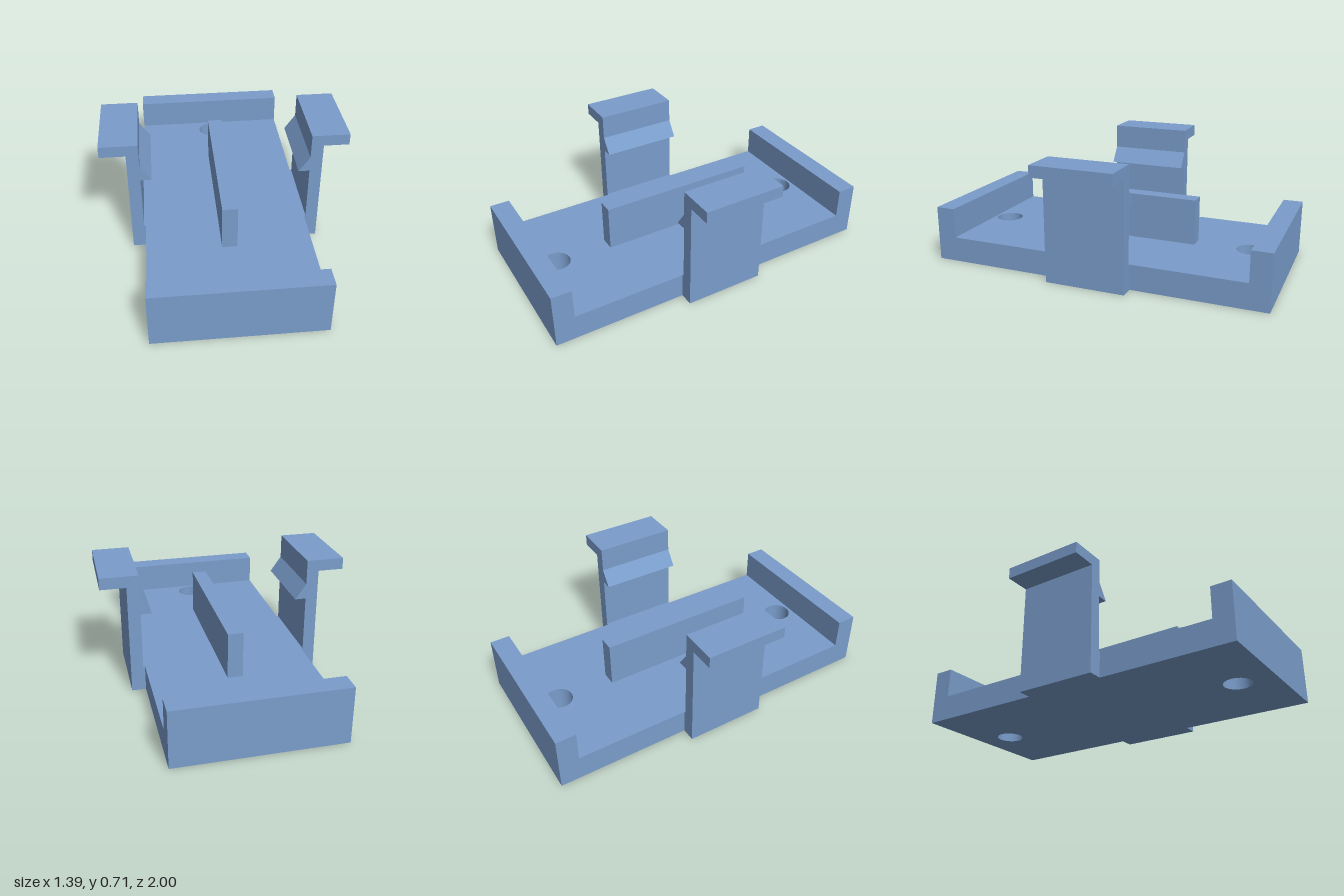
import * as THREE from 'three';

const W = 0.47;       // half width of the base
const DECK = 0.148;   // deck thickness
const WALL_Z = 0.885; // inner face of the end walls

export function createModel() {
  const group = new THREE.Group();
  const blue = new THREE.MeshStandardMaterial({ color: 0x7a9dcb });
  blue.name = 'dusty blue';

  const add = (name, geometry, x = 0, y = 0, z = 0) => {
    const mesh = new THREE.Mesh(geometry, blue);
    mesh.name = name;
    mesh.position.set(x, y, z);
    group.add(mesh);
    return mesh;
  };

  // Deck with two round screw holes
  const deck = new THREE.Shape([
    new THREE.Vector2(-W, -WALL_Z), new THREE.Vector2(W, -WALL_Z),
    new THREE.Vector2(W, WALL_Z), new THREE.Vector2(-W, WALL_Z),
  ]);
  for (const s of [-1, 1]) {
    deck.holes.push(new THREE.Path().absarc(0, s * 0.79, 0.079, 0, Math.PI * 2, true));
  }
  const deckGeometry = new THREE.ExtrudeGeometry(deck, { depth: DECK, bevelEnabled: false, curveSegments: 32 });
  deckGeometry.rotateX(-Math.PI / 2);
  add('deck', deckGeometry);

  // Central rib
  add('rib', new THREE.BoxGeometry(0.087, 0.415 - DECK, 0.94), 0, (0.415 + DECK) / 2, 0);

  // Clip arm profile: foot, inner face, barb, outward lip
  const profile = [
    [W, 0], [0.55, 0], [0.55, 0.64], [0.695, 0.64], [0.695, 0.706], [0.48, 0.706],
    [0.48, 0.565], [0.417, 0.475], [0.48, 0.475], [0.48, DECK], [W, DECK],
  ];

  for (const s of [1, -1]) {
    // End walls
    add(s > 0 ? 'frontWall' : 'backWall',
      new THREE.BoxGeometry(2 * W, 0.325, 1 - WALL_Z), 0, 0.1625, s * (1 + WALL_Z) / 2);

    // Snap clips on both sides
    const shape = new THREE.Shape(profile.map(([x, y]) => new THREE.Vector2(s * x, y)));
    const clip = new THREE.ExtrudeGeometry(shape, { depth: 0.47, bevelEnabled: false });
    add(s > 0 ? 'leftClip' : 'rightClip', clip, 0, 0, -0.235);
  }
  return group;
}
